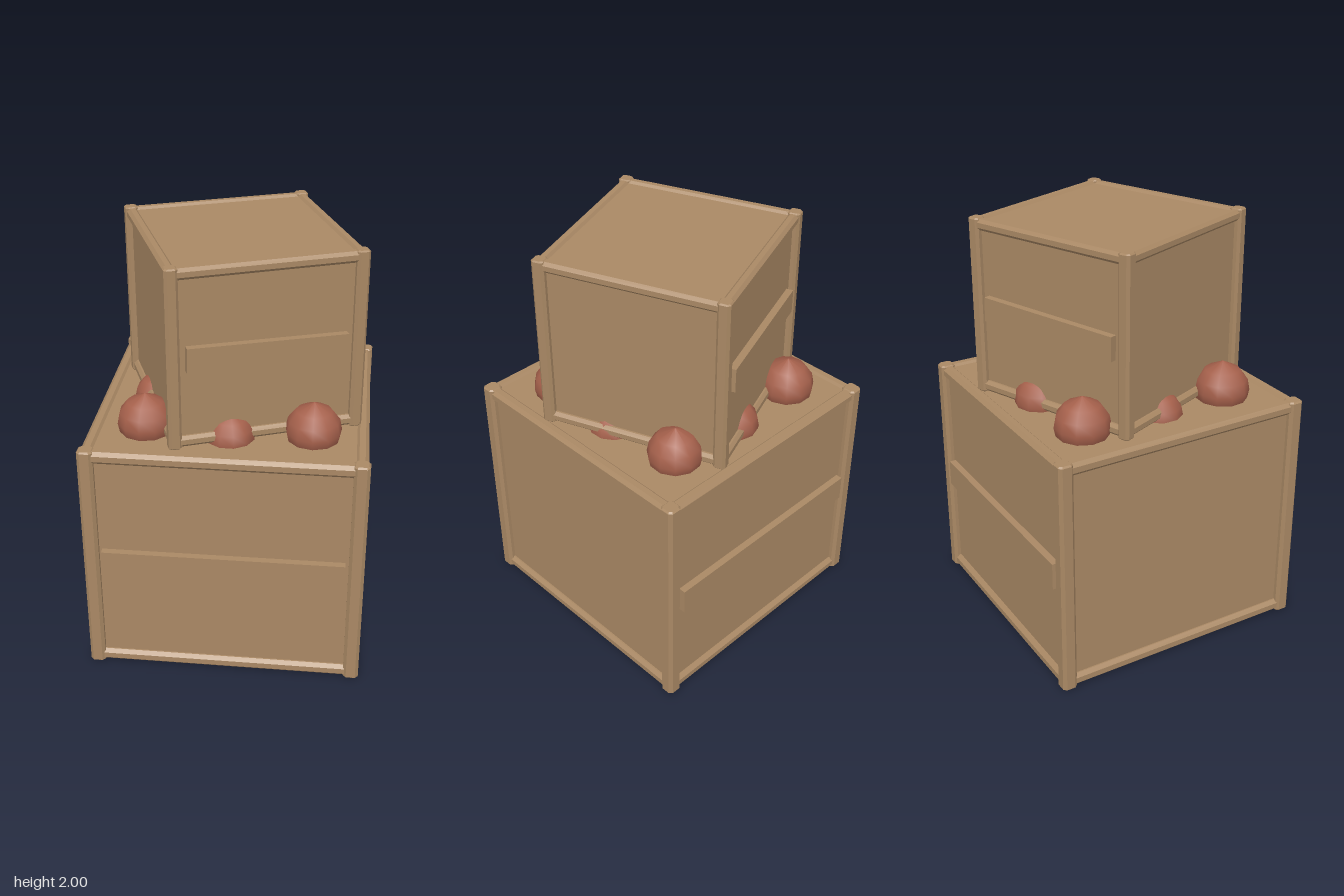
import * as THREE from 'three';

export function createModel() {
  const wood = new THREE.MeshStandardMaterial({ color: 0xa98864, flatShading: true });
  wood.name = 'wood';
  const red = new THREE.MeshStandardMaterial({ color: 0xa5604b });
  red.name = 'fruitRed';

  function add(parent, geometry, material, name, x = 0, y = 0, z = 0) {
    const mesh = new THREE.Mesh(geometry, material);
    mesh.name = name;
    mesh.position.set(x, y, z);
    parent.add(mesh);
    return mesh;
  }

  // Square bar along z with chamfered edges and ends
  function barGeometry(length, half, cut) {
    const a = half - cut, b = cut * 0.5, s = half - b, t = a - b * 0.4;
    const shape = new THREE.Shape([
      [s, t], [t, s], [-t, s], [-s, t], [-s, -t], [-t, -s], [t, -s], [s, -t],
    ].map(([x, y]) => new THREE.Vector2(x, y)));
    const geometry = new THREE.ExtrudeGeometry(shape, {
      depth: length - 2 * b, bevelEnabled: true, bevelThickness: b, bevelSize: b, bevelSegments: 1,
    });
    return geometry.translate(0, 0, b - length / 2);
  }

  // Crate: panelled body, four corner posts, edge trims and a slat front and back
  function crate(name, o) {
    const g = new THREE.Group();
    g.name = name;
    const { body, height, at, post, trim } = o;
    add(g, new THREE.BoxGeometry(body * 2, height - 0.03, body * 2), wood, 'crateBody', 0, height / 2, 0);

    const postGeo = barGeometry(height, post, post * 0.4).rotateX(Math.PI / 2);
    const trimZ = barGeometry(at * 2, trim, trim * 0.55);
    const trimX = trimZ.clone().rotateY(Math.PI / 2);
    for (const s of [-1, 1]) {
      for (const t of [-1, 1]) add(g, postGeo, wood, 'cornerPost', s * at, height / 2, t * at);
      for (const y of [trim + 0.004, height - trim - 0.004]) {
        add(g, trimZ, wood, 'sideTrim', s * (at - 0.002), y, 0);
        add(g, trimX, wood, 'endTrim', 0, y, s * (at - 0.002));
      }
      // Slats lean slightly out of true
      const slat = add(g, new THREE.BoxGeometry(o.slatLength, o.slatHeight, 0.035), wood,
        'slat', 0, o.slatY, s * (body + 0.016));
      slat.rotation.z = s * o.slatTilt;
    }
    return g;
  }

  const model = new THREE.Group();
  model.name = 'stackedCrates';

  const lower = crate('lowerCrate', {
    body: 0.615, height: 1.165, at: 0.61, post: 0.036, trim: 0.03,
    slatLength: 1.12, slatHeight: 0.13, slatY: 0.58, slatTilt: 0.003,
  });
  model.add(lower);

  const upper = crate('upperCrate', {
    body: 0.423, height: 0.845, at: 0.422, post: 0.03, trim: 0.026,
    slatLength: 0.73, slatHeight: 0.115, slatY: 0.42, slatTilt: -0.02,
  });
  upper.position.set(0.016, 1.155, -0.015);
  upper.rotation.y = 0.375;
  model.add(upper);

  // Rounded fruit with a pointed crown, half sunk in the lower crate
  const profile = [[0, -0.12], [0.07, -0.1], [0.115, -0.05], [0.125, 0], [0.115, 0.05], [0.08, 0.095], [0, 0.135]];
  const fruitGeo = new THREE.LatheGeometry(profile.map(([x, y]) => new THREE.Vector2(x, y)), 11);
  const fruits = [
    [-0.385, -0.39, 1.04], [0, -0.4, 0.96], [0.36, -0.385, 1.02],
    [-0.375, 0.01, 0.96], [0.385, -0.01, 0.96],
    [-0.38, 0.365, 1.04], [0.01, 0.4, 0.92], [0.385, 0.365, 1.03],
  ];
  fruits.forEach(([x, z, s], i) => {
    const f = add(model, fruitGeo, red, 'fruit', x, i === 3 || i === 4 ? 1.14 : 1.18 + (s - 1) * 0.3, z);
    f.scale.setScalar(s);
    f.rotation.y = i * 0.9;
  });

  return model;
}
